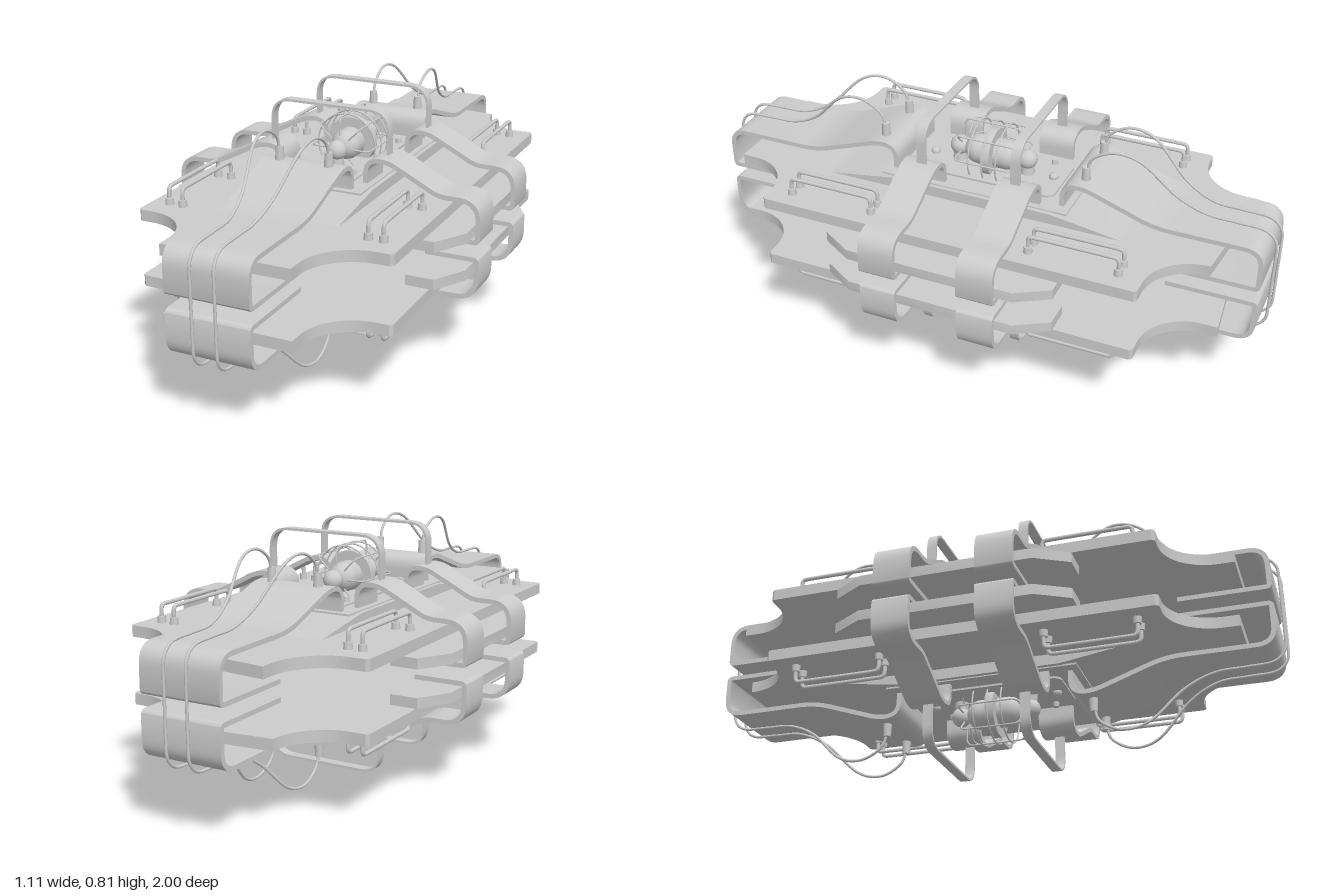
import * as THREE from 'three';
import { toCreasedNormals } from 'three/addons/utils/BufferGeometryUtils.js';

const mat = new THREE.MeshStandardMaterial({ color: 0xcccccc, side: THREE.DoubleSide });
const MID = 0.4075; // height of the mirror plane between the two halves

function add(parent, name, geo, x = 0, y = 0, z = 0) {
  const m = new THREE.Mesh(geo, mat);
  m.name = name;
  m.position.set(x, y, z);
  parent.add(m);
  return m;
}

// Open polyline with rounded corners; each point is [a, b, radius]
function roundedPath(pts) {
  const out = [];
  pts.forEach(([a, b, r], i) => {
    const p = new THREE.Vector2(a, b);
    if (!r) return out.push(p);
    const toward = (q) => p.clone().add(new THREE.Vector2(q[0] - a, q[1] - b).setLength(r));
    out.push(...new THREE.QuadraticBezierCurve(toward(pts[i - 1]), p, toward(pts[i + 1])).getPoints(8));
  });
  return out;
}

// Flat band of given thickness following a path, extruded to a width
function bandGeometry(pts, thickness, width) {
  const path = roundedPath(pts);
  const side = (s) => path.map((p, i) => {
    const a = path[Math.max(i - 1, 0)], b = path[Math.min(i + 1, path.length - 1)];
    const d = b.clone().sub(a).normalize();
    return new THREE.Vector2(p.x - d.y * s, p.y + d.x * s);
  });
  const shape = new THREE.Shape([...side(thickness / 2), ...side(-thickness / 2).reverse()]);
  return extrude(shape, width);
}

function extrude(shape, depth) {
  const g = new THREE.ExtrudeGeometry(shape, { depth, bevelEnabled: false, curveSegments: 12 });
  g.translate(0, 0, -depth / 2);
  return toCreasedNormals(g, 0.6);
}

// Horizontal plate from a shape drawn in x/z, standing from y0 to y1
function plateGeometry(shape, y0, y1) {
  return extrude(shape, y1 - y0).rotateX(Math.PI / 2).translate(0, (y0 + y1) / 2, 0);
}

function roundedRect(w, h, r) {
  const s = new THREE.Shape();
  s.moveTo(w - r, -h);
  s.absarc(w - r, -h + r, r, -Math.PI / 2, 0);
  s.absarc(w - r, h - r, r, 0, Math.PI / 2);
  s.absarc(-w + r, h - r, r, Math.PI / 2, Math.PI);
  s.absarc(-w + r, -h + r, r, Math.PI, Math.PI * 1.5);
  return s;
}

const tube = (pts, r, n = 60, tension = 0.5) => new THREE.TubeGeometry(
  new THREE.CatmullRomCurve3(pts.map((p) => new THREE.Vector3(...p)), false, 'catmullrom', tension), n, r, 8);

function hullPlates(g) {
  // Main plate with concave scooped corners
  const s = new THREE.Shape();
  s.moveTo(0.22, -0.875);
  s.absarc(0.39, -0.83, 0.17, Math.PI, Math.PI / 2, true);
  s.lineTo(0.43, -0.66);
  s.lineTo(0.44, -0.65);
  s.lineTo(0.44, 0.65);
  s.lineTo(0.43, 0.66);
  s.absarc(0.39, 0.83, 0.17, -Math.PI / 2, -Math.PI, true);
  s.lineTo(0.22, 0.875);
  s.lineTo(-0.22, 0.875);
  s.absarc(-0.39, 0.83, 0.17, 0, -Math.PI / 2, true);
  s.lineTo(-0.43, 0.66);
  s.lineTo(-0.44, 0.65);
  s.lineTo(-0.44, -0.65);
  s.lineTo(-0.43, -0.66);
  s.absarc(-0.39, -0.83, 0.17, Math.PI / 2, 0, true);
  s.lineTo(-0.22, -0.875);
  add(g, 'mainPlate', plateGeometry(s, 0.502, 0.54));

  // Raised centre deck, sloping down to both ends
  const deck = new THREE.Shape([[-0.56, 0.535], [0.56, 0.535], [0.28, 0.577], [-0.28, 0.577]]
    .map((p) => new THREE.Vector2(...p)));
  add(g, 'centreDeck', extrude(deck, 0.4).rotateY(Math.PI / 2));

  // Side fins with chamfered outer corners
  for (const sx of [1, -1]) {
    const fin = new THREE.Shape([[0.37, -0.4], [0.465, -0.4], [0.53, -0.29], [0.53, 0.29], [0.465, 0.4], [0.37, 0.4]]
      .map(([x, z]) => new THREE.Vector2(sx * x, z)));
    add(g, 'sideFin', plateGeometry(fin, 0.453, 0.488));
  }
}

function straps(g) {
  const sideStrap = bandGeometry([[0.37, 0.437], [0.547, 0.437, 0.012], [0.547, 0.573, 0.07], [0.41, 0.573, 0.03],
    [0.235, 0.662, 0.03], [0.155, 0.662, 0.05], [0.155, 0.54]], 0.016, 0.125);
  const endStrap = bandGeometry([[0.67, 0.437], [0.97, 0.437, 0.012], [0.97, 0.578, 0.06], [0.62, 0.578, 0.06],
    [0.38, 0.662, 0.03], [0.303, 0.662, 0.05], [0.303, 0.54]], 0.016, 0.286);
  const hoop = bandGeometry([[-0.212, 0.655], [-0.212, 0.811, 0.07], [0.212, 0.811, 0.07], [0.212, 0.655]], 0.008, 0.034);
  for (const s of [1, -1]) {
    add(g, 'endStrap', endStrap).rotation.y = -s * Math.PI / 2;
    add(g, 'hoop', hoop, 0, 0, s * 0.168);
    for (const z of [0.172, -0.172]) {
      add(g, 'sideStrap', sideStrap, 0, 0, z).rotation.y = s > 0 ? 0 : Math.PI;
    }
  }
}

function cablesAndRails(g) {
  const post = new THREE.CylinderGeometry(0.013, 0.016, 0.06, 16);
  const foot = new THREE.CylinderGeometry(0.013, 0.015, 0.025, 16);
  for (const sx of [1, -1]) for (const sz of [1, -1]) {
    // Cable from its post, over the end strap and down to the middle
    const cable = [[0.088, 0.69, 0.365], [0.088, 0.75, 0.385], [0.088, 0.788, 0.46], [0.08, 0.765, 0.55],
      [0.055, 0.66, 0.66], [0.042, 0.61, 0.76], [0.04, 0.603, 0.86], [0.04, 0.597, 0.95],
      [0.04, 0.56, 0.99], [0.04, 0.5, 0.995], [0.04, MID, 0.995]];
    add(g, 'cable', tube(cable.map(([x, y, z]) => [sx * x, y, sz * z]), 0.005, 90));
    add(g, 'cablePost', post, sx * 0.088, 0.685, sz * 0.365);
    // Pair of grab rails
    for (const x of [0.325, 0.375]) {
      const rail = [[0.28, 0.54], [0.28, 0.585], [0.295, 0.6], [0.565, 0.6], [0.58, 0.585], [0.58, 0.54]];
      add(g, 'rail', tube(rail.map(([z, y]) => [sx * x, y, sz * z]), 0.007, 60, 0.15));
      for (const z of [0.28, 0.58]) add(g, 'railFoot', foot, sx * x, 0.55, sz * z);
    }
  }
}

function engine(g) {
  // Mounting tray with screws
  add(g, 'trayBase', new THREE.BoxGeometry(0.37, 0.006, 0.67), 0, 0.578, 0);
  add(g, 'tray', plateGeometry(roundedRect(0.115, 0.26, 0.03), 0.578, 0.588));
  const screw = new THREE.CylinderGeometry(0.01, 0.012, 0.02, 12);
  for (const s of [1, -1]) {
    add(g, 'screw', new THREE.SphereGeometry(0.016, 16, 10), 0, 0.592, s * 0.22);
    for (const x of [0.09, -0.09]) add(g, 'screw', screw, x, 0.595, s * 0.19);
  }

  const core = new THREE.Group();
  core.name = 'core';
  core.position.y = 0.64;
  g.add(core);
  // Capsule, axle ends and their supports
  add(core, 'capsule', new THREE.CapsuleGeometry(0.052, 0.1, 8, 24).rotateX(Math.PI / 2));
  add(core, 'flywheel', new THREE.CylinderGeometry(0.085, 0.085, 0.03, 32).rotateX(Math.PI / 2));
  for (const s of [1, -1]) {
    add(core, 'axle', new THREE.CylinderGeometry(0.018, 0.018, 0.06, 16).rotateX(Math.PI / 2), 0, 0, s * 0.115);
    add(core, 'axleCap', new THREE.SphereGeometry(0.034, 20, 14), 0, 0, s * 0.125);
    add(core, 'axleSupport', new THREE.CylinderGeometry(0.02, 0.026, 0.06, 16), 0, -0.03, s * 0.125);
  }
  // Cage of rings and bent ribs
  for (const z of [-0.05, 0, 0.05]) add(core, 'cageRing', new THREE.TorusGeometry(0.107, 0.003, 8, 40), 0, 0, z);
  const rib = tube([[0, 0.045, -0.104], [0, 0.09, -0.104], [0, 0.107, -0.088], [0, 0.107, 0.088],
    [0, 0.09, 0.104], [0, 0.045, 0.104]], 0.003, 40, 0.15);
  for (let i = 0; i < 8; i++) add(core, 'cageRib', rib).rotation.z = i * Math.PI / 4;
}

function createHalf(name) {
  const g = new THREE.Group();
  g.name = name;
  hullPlates(g);
  straps(g);
  cablesAndRails(g);
  engine(g);
  return g;
}

export function createModel() {
  const model = new THREE.Group();
  model.name = 'craft';
  const lower = createHalf('lowerHalf');
  lower.rotation.z = Math.PI;
  lower.position.y = MID * 2;
  model.add(createHalf('upperHalf'), lower);
  return model;
}
